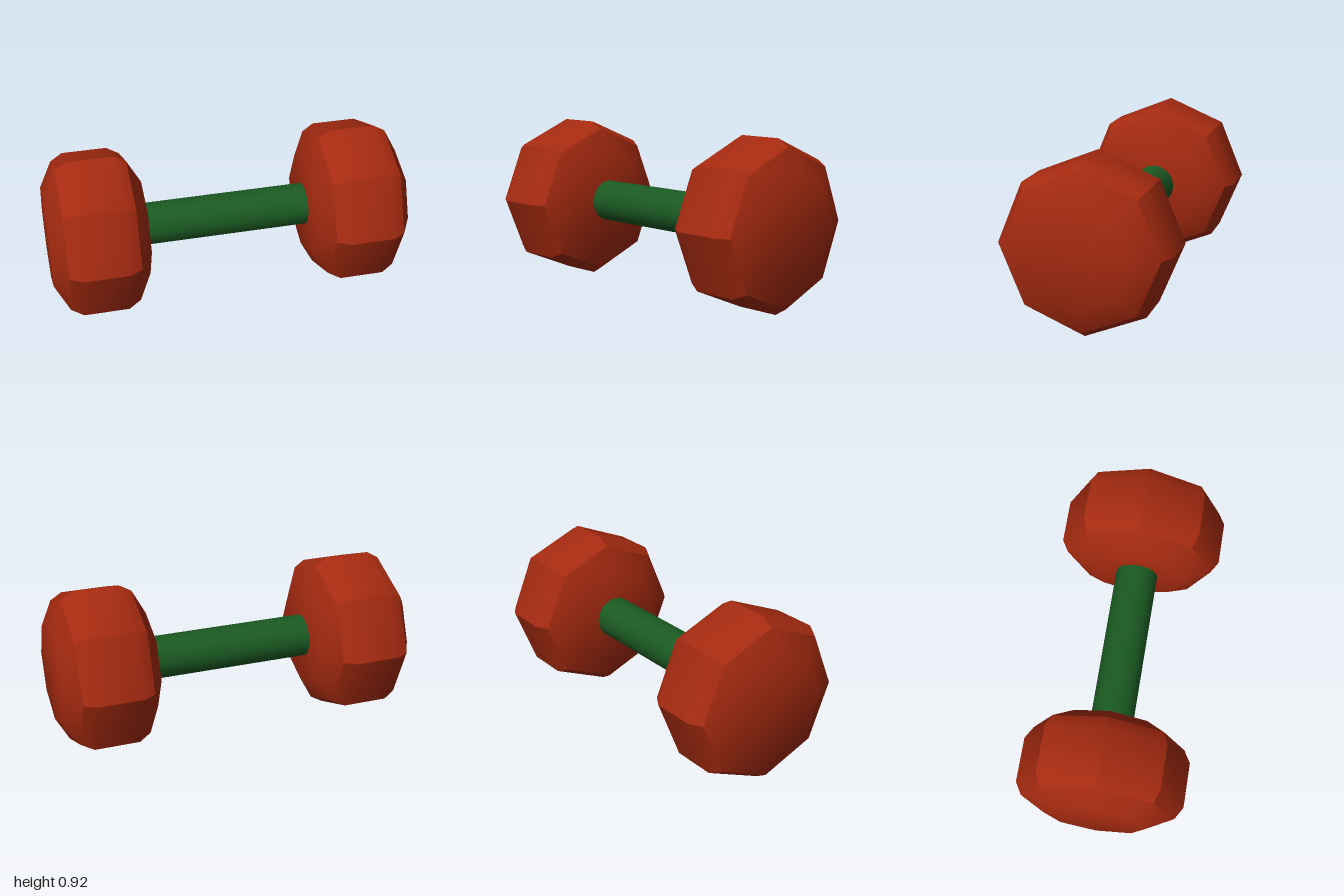
import * as THREE from 'three';
import { toCreasedNormals } from 'three/addons/utils/BufferGeometryUtils.js';

const CENTRE_Y = 0.462;

export function createModel() {
  const model = new THREE.Group();
  model.name = 'dumbbell';
  const red = new THREE.MeshStandardMaterial({ color: 0xa52a10 });
  const green = new THREE.MeshStandardMaterial({ color: 0x1b5a22 });

  // Octagonal weight: a bevelled profile turned in eight steps, laid along x
  const half = [[0.268, 0.28], [0.193, 0.42], [0.125, 0.46]];
  const profile = [
    [-0.268, 0],
    ...half.map(([x, r]) => [-x, r]),
    ...half.slice().reverse(),
    [0.268, 0],
  ].map(([x, r]) => new THREE.Vector2(r, x));
  const weightGeometry = toCreasedNormals(
    new THREE.LatheGeometry(profile, 8).rotateZ(-Math.PI / 2),
    THREE.MathUtils.degToRad(31)
  );

  for (const [name, side] of [['leftWeight', 1], ['rightWeight', -1]]) {
    const weight = new THREE.Mesh(weightGeometry, red);
    weight.name = name;
    weight.position.set(side * 0.732, CENTRE_Y, 0);
    model.add(weight);
  }

  // Round handle running into both weights
  const handle = new THREE.Mesh(
    new THREE.CylinderGeometry(0.119, 0.119, 1.1, 16).rotateZ(Math.PI / 2),
    green
  );
  handle.name = 'handle';
  handle.position.y = CENTRE_Y;
  model.add(handle);

  return model;
}
